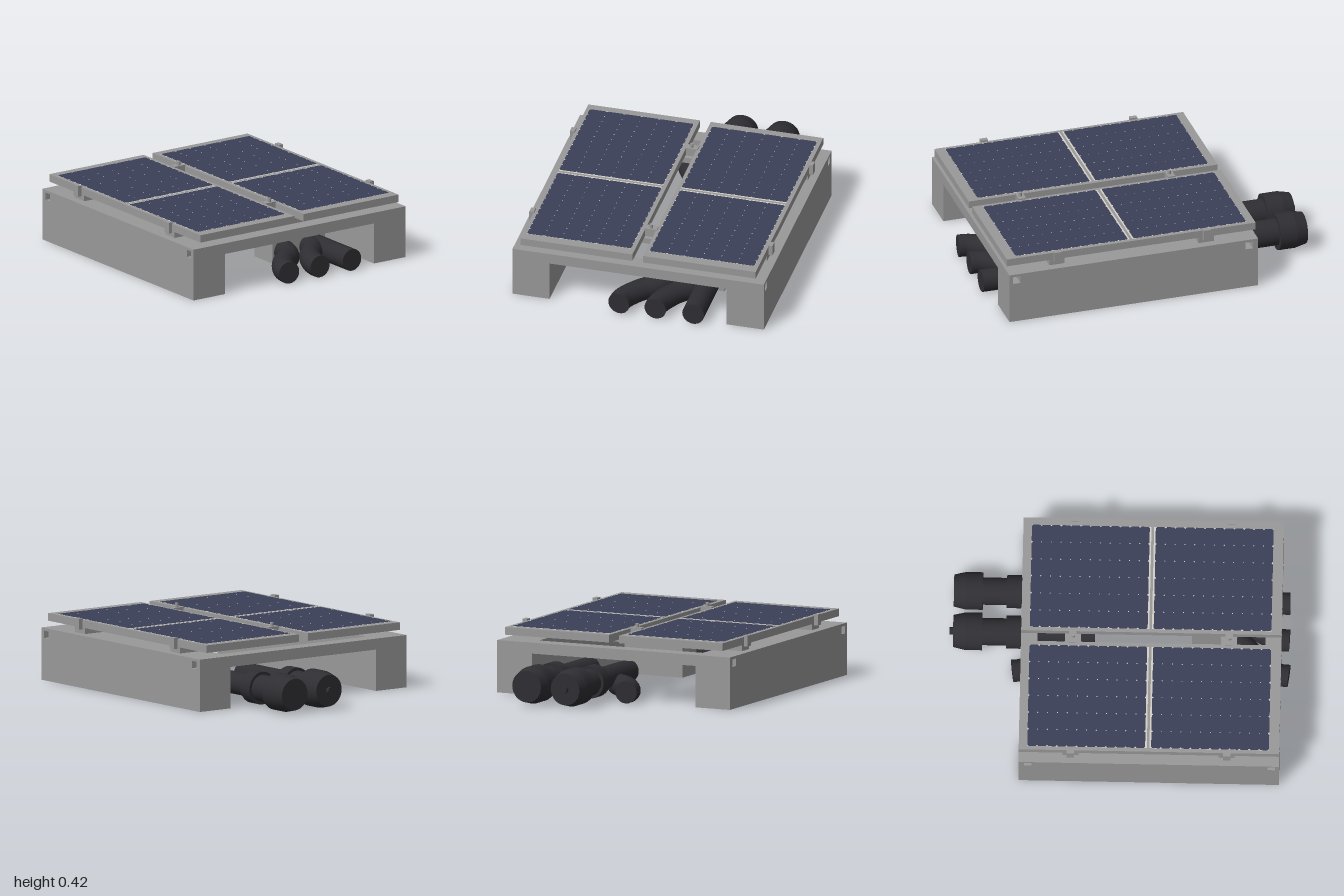
import * as THREE from 'three';

export function createModel() {
  const root = new THREE.Group();
  const mat = (name, color) => {
    const m = new THREE.MeshStandardMaterial({ color });
    m.name = name;
    return m;
  };
  const grey = mat('grey metal', 0x999999);
  const blue = mat('solar blue', 0x3b4058);
  const black = mat('black rubber', 0x2e2e33);
  const cream = mat('cream backing', 0xd4d0c8);

  const add = (name, geo, m, parent = root) => {
    const mesh = new THREE.Mesh(geo, m);
    mesh.name = name;
    parent.add(mesh);
    return mesh;
  };
  // box given by its limits on each axis
  const box = (name, x0, x1, y0, y1, z0, z1, m = grey, parent = root) => {
    const b = add(name, new THREE.BoxGeometry(x1 - x0, y1 - y0, z1 - z0), m, parent);
    b.position.set((x0 + x1) / 2, (y0 + y1) / 2, (z0 + z1) / 2);
    return b;
  };
  const rect = (target, a0, a1, b0, b1) => {
    target.moveTo(a0, b0);
    target.lineTo(a1, b0);
    target.lineTo(a1, b1);
    target.lineTo(a0, b1);
    target.closePath();
    return target;
  };
  // rectangular (z, y) profile with square bores, extruded along x
  const bored = (name, x0, x1, y0, y1, z0, z1, bores) => {
    const shape = rect(new THREE.Shape(), z0, z1, y0, y1);
    for (const zc of bores) shape.holes.push(rect(new THREE.Path(), zc - 0.022, zc + 0.022, 0.25, 0.294));
    const geo = new THREE.ExtrudeGeometry(shape, { depth: x1 - x0, bevelEnabled: false });
    geo.rotateY(-Math.PI / 2).translate(x1, 0, 0);
    return add(name, geo, grey);
  };

  // base: two ballast beams joined by hollow cross beams
  const boreFront = 0.9, boreBack = -0.525;
  bored('rightBeam', -0.762, -0.537, 0, 0.31, -0.58, 0.945, [boreBack, boreFront]);
  bored('leftBeam', 0.535, 0.762, 0, 0.31, -0.58, 0.945, [boreBack, boreFront]);
  bored('frontCrossBeam', -0.537, 0.535, 0.245, 0.31, 0.85, 0.945, [boreFront]);
  bored('backCrossBeam', -0.537, 0.535, 0.245, 0.31, -0.58, -0.485, [boreBack]);

  // mounting rails and the clamps on them
  for (const z of [-0.277, 0.638]) {
    const rail = new THREE.Group();
    rail.name = 'mountingRail';
    root.add(rail);
    box('railBar', -0.712, 0.712, 0.31, 0.345, z - 0.047, z + 0.047, grey, rail);
    for (const s of [-1, 1])
      box('endClamp', s * 0.723 - 0.014, s * 0.723 + 0.014, 0.335, 0.4, z - 0.022, z + 0.022, grey, rail);
    box('middleClamp', -0.034, 0.03, 0.34, 0.39, z - 0.022, z + 0.022, grey, rail);
    box('clampPlate', -0.04, 0.036, 0.39, 0.397, z - 0.022, z + 0.022, grey, rail);
    const bolt = add('clampBolt', new THREE.CylinderGeometry(0.011, 0.011, 0.024, 12), grey, rail);
    bolt.position.set(-0.002, 0.408, z + 0.003);
  }

  // one sheet of cells with clipped corners: notched outline, diamond gaps inside
  const cellSheet = (x0, x1, z0, z1, nx, nz) => {
    const pts = [];
    const c = 0.008, d = 0.004;
    const edge = (ax, ay, bx, by, n) => {
      const len = Math.hypot(bx - ax, by - ay);
      const ux = (bx - ax) / len, uy = (by - ay) / len;
      for (let i = 0; i < n; i++) {
        const s = (len * i) / n, e = (len * (i + 1)) / n;
        if (i > 0) pts.push(new THREE.Vector2(ax + ux * s - uy * c, ay + uy * s + ux * c));
        pts.push(new THREE.Vector2(ax + ux * (s + c), ay + uy * (s + c)));
        pts.push(new THREE.Vector2(ax + ux * (e - c), ay + uy * (e - c)));
      }
    };
    edge(x0, -z1, x1, -z1, nx);
    edge(x1, -z1, x1, -z0, nz);
    edge(x1, -z0, x0, -z0, nx);
    edge(x0, -z0, x0, -z1, nz);
    const shape = new THREE.Shape(pts);
    for (let i = 1; i < nx; i++) {
      for (let j = 1; j < nz; j++) {
        const x = x0 + ((x1 - x0) * i) / nx, y = -z1 + ((z1 - z0) * j) / nz;
        shape.holes.push(new THREE.Path([
          new THREE.Vector2(x - d, y), new THREE.Vector2(x, y + d),
          new THREE.Vector2(x + d, y), new THREE.Vector2(x, y - d),
        ]));
      }
    }
    return new THREE.ShapeGeometry(shape).rotateX(-Math.PI / 2).translate(0, 0.3915, 0);
  };

  // two solar panels: frame, backing sheet showing between the cells and below
  for (const [x0, x1] of [[-0.712, -0.035], [0.03, 0.712]]) {
    const panel = new THREE.Group();
    panel.name = 'solarPanel';
    root.add(panel);
    const c0 = x0 + 0.022, c1 = x1 - 0.024;
    box('panelFrame', x0, x1, 0.345, 0.39, -0.58, 0.945, grey, panel);
    box('backingTop', c0, c1, 0.388, 0.3907, -0.53, 0.885, cream, panel);
    box('backingBottom', c0, c1, 0.3435, 0.347, -0.55, 0.915, cream, panel);
    box('middleStrip', c0, c1, 0.389, 0.3915, 0.17, 0.185, grey, panel);
    for (const [z0, z1] of [[-0.53, 0.16], [0.195, 0.885]])
      add('solarCells', cellSheet(c0, c1, z0, z1, 6, 12), blue, panel);
  }

  // junction box, and the tray under the left panel
  box('junctionBox', 0.05, 0.43, 0, 0.315, 0.42, 0.6);
  box('trayPlate', 0.05, 0.43, 0.312, 0.325, -0.1, 0.48, black);
  for (const z of [-0.04, 0.185, 0.42]) box('trayBar', 0.045, 0.435, 0.315, 0.343, z - 0.022, z + 0.022);
  for (const x of [0.07, 0.41])
    for (const [z0, z1] of [[-0.23, -0.1], [0.48, 0.59]]) box('trayRail', x - 0.02, x + 0.02, 0.312, 0.328, z0, z1);

  // bent conduits at the front, and one at the back
  const conduit = (name, points) => {
    const curve = new THREE.CatmullRomCurve3(points.map(([x, z]) => new THREE.Vector3(x, 0.066, z)));
    add(name, new THREE.TubeGeometry(curve, 24, 0.066, 24), black);
    for (const t of [0, 1]) {
      const cap = add(name + 'End', new THREE.CircleGeometry(0.066, 24), black);
      const p = curve.getPoint(t);
      cap.position.copy(p);
      cap.lookAt(p.clone().addScaledVector(curve.getTangent(t), t ? 1 : -1));
    }
  };
  conduit('frontConduit', [[-0.106, 0.99], [-0.098, 0.93], [-0.02, 0.81], [0.08, 0.72], [0.13, 0.6], [0.13, 0.55]]);
  conduit('frontConduit', [[0.115, 0.99], [0.118, 0.93], [0.18, 0.8], [0.28, 0.68], [0.33, 0.55]]);
  conduit('frontConduit', [[0.345, 0.99], [0.345, 0.8], [0.345, 0.55]]);
  conduit('backConduit', [[-0.106, -0.63], [-0.098, -0.57], [-0.02, -0.45], [0.08, -0.36], [0.13, -0.25], [0.13, -0.18]]);

  // stepped cable connectors at the back: [radius, distance along -z]
  const profile = [
    [0, 0.15], [0.066, 0.15], [0.066, 0.56], [0.085, 0.56], [0.085, 0.585], [0.097, 0.585],
    [0.097, 0.67], [0.08, 0.67], [0.08, 0.81], [0.11, 0.81], [0.11, 0.91], [0.094, 0.98], [0, 0.98],
  ];
  for (const x of [0.117, 0.369]) {
    const connector = new THREE.Group();
    connector.name = 'backConnector';
    connector.position.set(x, 0.115, 0);
    root.add(connector);
    // each step is its own lathe so the edges stay sharp
    for (let i = 0; i + 1 < profile.length; i++) {
      const pts = [profile[i], profile[i + 1]].map(([r, d]) => new THREE.Vector2(r, d));
      add('connectorStep', new THREE.LatheGeometry(pts, 32).rotateX(-Math.PI / 2), black, connector);
    }
    if (x < 0.2) {
      const tip = add('connectorTip', new THREE.CylinderGeometry(0.022, 0.022, 0.03, 16).rotateX(Math.PI / 2), black, connector);
      tip.position.z = -0.987;
    }
  }
  return root;
}
